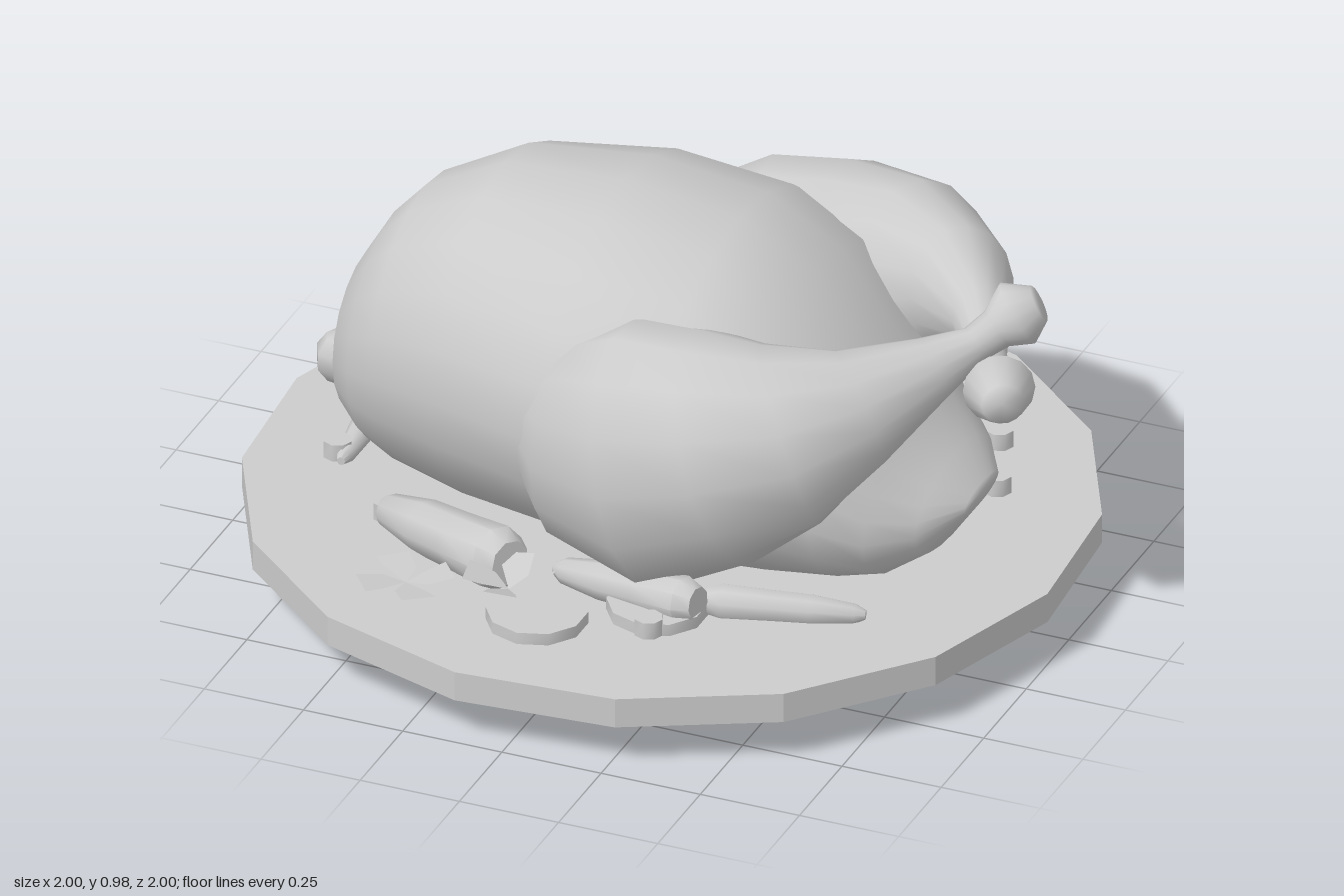
import * as THREE from 'three';
import { toCreasedNormals } from 'three/addons/utils/BufferGeometryUtils.js';

const material = new THREE.MeshStandardMaterial({ color: 0xcccccc });
const thin = new THREE.MeshStandardMaterial({ color: 0xcccccc, side: THREE.DoubleSide });

// Skin elliptical rings [x, y, z, halfWidth, halfHeight] and close both ends.
function loft(rows, sides, fixedDir) {
  const pos = [], index = [];
  const up = new THREE.Vector3(0, 1, 0);
  const centre = rows.map((r) => new THREE.Vector3(r[0], r[1], r[2]));
  const last = rows.length - 1;
  rows.forEach((r, i) => {
    const t = fixedDir ? fixedDir.clone()
      : centre[Math.min(i + 1, last)].clone().sub(centre[Math.max(i - 1, 0)]).normalize();
    const s = t.clone().cross(up).normalize();
    const n = s.clone().cross(t);
    for (let j = 0; j < sides; j++) {
      const a = (j / sides) * Math.PI * 2;
      const p = centre[i].clone().addScaledVector(s, Math.cos(a) * r[3]).addScaledVector(n, Math.sin(a) * r[4]);
      pos.push(p.x, p.y, p.z);
    }
  });
  const first = pos.length / 3;
  pos.push(...centre[0].toArray(), ...centre[last].toArray());
  for (let j = 0; j < sides; j++) {
    const k = (j + 1) % sides;
    for (let i = 0; i < last; i++) {
      const a = i * sides + j, b = i * sides + k, c = a + sides, d = b + sides;
      index.push(a, c, b, b, c, d);
    }
    index.push(first, j, k, first + 1, last * sides + k, last * sides + j);
  }
  const g = new THREE.BufferGeometry();
  g.setAttribute('position', new THREE.Float32BufferAttribute(pos, 3));
  g.setIndex(index);
  g.computeVertexNormals();
  return g;
}

export function createModel() {
  const model = new THREE.Group();
  const add = (name, geometry, x = 0, y = 0, z = 0, mat = material) => {
    const m = new THREE.Mesh(geometry, mat);
    m.name = name;
    m.position.set(x, y, z);
    model.add(m);
    return m;
  };

  // Sixteen-sided plate with a sloping underside and a hollow foot ring
  const plateProfile = [[0, 0.06], [0.59, 0.06], [0.59, 0], [0.635, 0], [0.635, 0.05], [1.005, 0.11], [1.005, 0.185], [0, 0.185]]
    .map(([r, y]) => new THREE.Vector2(r, y));
  const plate = new THREE.LatheGeometry(plateProfile, 16);
  plate.rotateY(-0.12);
  add('plate', toCreasedNormals(plate, 0.35));

  // Plump body: x, bottom, top, half width
  const bodyRows = [
    [-0.81, 0.39, 0.5, 0.07], [-0.77, 0.25, 0.64, 0.2], [-0.7, 0.19, 0.76, 0.28],
    [-0.62, 0.16, 0.85, 0.34], [-0.42, 0.13, 0.955, 0.44], [-0.12, 0.12, 0.977, 0.53],
    [0.17, 0.12, 0.94, 0.54], [0.36, 0.13, 0.84, 0.5], [0.52, 0.14, 0.65, 0.41],
    [0.62, 0.16, 0.51, 0.33], [0.71, 0.22, 0.43, 0.23], [0.78, 0.32, 0.37, 0.1],
  ].map(([x, lo, hi, w]) => [x, (lo + hi) / 2, 0, w, (hi - lo) / 2]);
  add('body', loft(bodyRows, 20, new THREE.Vector3(1, 0, 0)));

  // Thighs and drumsticks, crossing at the shanks
  const thigh = [
    [-0.24, 0.52, 0.36, 0.06, 0.08], [-0.08, 0.51, 0.39, 0.19, 0.26], [0.12, 0.52, 0.42, 0.25, 0.33],
    [0.32, 0.59, 0.43, 0.25, 0.285], [0.47, 0.64, 0.4, 0.2, 0.23], [0.6, 0.69, 0.3, 0.13, 0.15],
  ];
  const leftShank = [
    [0.73, 0.755, 0.17, 0.07, 0.08], [0.8, 0.79, 0.09, 0.042, 0.045], [0.84, 0.82, 0.05, 0.05, 0.05],
    [0.88, 0.855, 0.02, 0.082, 0.082], [0.925, 0.88, 0, 0.045, 0.045],
  ];
  const rightShank = [
    [0.72, 0.72, -0.14, 0.07, 0.08], [0.79, 0.695, -0.02, 0.042, 0.045], [0.83, 0.7, 0.05, 0.045, 0.045],
    [0.88, 0.71, 0.13, 0.085, 0.085], [0.92, 0.715, 0.2, 0.05, 0.05],
  ];
  add('frontLeg', loft([...thigh, ...leftShank], 14));
  add('backLeg', loft([...thigh.map(([x, y, z, w, h]) => [x, y, -z, w, h]), ...rightShank], 14));

  // Carrots: tip, blunt end, end radius
  const carrots = [
    [[-0.57, 0.2, 0.38], [-0.15, 0.26, 0.6], 0.078],
    [[-0.56, 0.21, -0.4], [-0.15, 0.25, -0.6], 0.07],
    [[-0.08, 0.21, 0.5], [0.31, 0.24, 0.57], 0.058],
    [[0.66, 0.2, 0.4], [0.3, 0.21, 0.5], 0.045],
    [[-0.74, 0.2, 0.22], [-0.78, 0.2, -0.26], 0.04],
  ];
  for (const [tip, end, r] of carrots) {
    const rows = [[0, 0.25], [0.07, 0.55], [0.35, 0.85], [0.6, 0.9], [0.9, 1], [1, 0.7]].map(([t, k]) => [
      ...tip.map((v, i) => v + (end[i] - v) * t), r * k, r * k]);
    add('carrot', toCreasedNormals(loft(rows, 9), 0.8));
  }

  // Vegetable slices and onion rings lying on the plate
  const slice = toCreasedNormals(new THREE.CylinderGeometry(0.12, 0.12, 0.03, 10), 0.7);
  for (const [x, y, z, tilt] of [[-0.04, 0.2, 0.7, 0], [0.05, 0.22, -0.58, 0.25], [0.2, 0.2, 0.55, 0]]) {
    add('slice', slice, x, y, z).rotation.x = tilt;
  }
  const ringShape = [[0.115, -0.02], [0.125, -0.02], [0.125, 0.02], [0.115, 0.02], [0.115, -0.02]];
  const ring = toCreasedNormals(new THREE.LatheGeometry(ringShape.map(([r, y]) => new THREE.Vector2(r, y)), 10), 0.7);
  add('onionRing', ring, -0.05, 0.215, -0.62);
  add('onionRing', ring, -0.74, 0.2, -0.17);

  // Small round-cut pieces and sprouts
  const dice = toCreasedNormals(new THREE.CylinderGeometry(0.035, 0.035, 0.045, 8), 0.8);
  for (const [x, y, z] of [[0.62, 0.205, -0.48], [0.7, 0.205, -0.28], [-0.64, 0.205, -0.36], [0.22, 0.205, 0.65], [-0.55, 0.205, 0.39], [-0.77, 0.205, 0.17]]) {
    add('dicedPiece', dice, x, y, z);
  }
  add('sprout', new THREE.SphereGeometry(0.068, 7, 5), -0.83, 0.345, 0);
  add('smallSprout', new THREE.SphereGeometry(0.04, 7, 5), -0.66, 0.24, -0.385);

  // Four-leaf herb sprigs
  const leaf = new THREE.Shape([[0, 0], [0.06, 0.04], [0.1, 0.06], [0.115, -0.02], [0.05, -0.03]]
    .map(([x, y]) => new THREE.Vector2(x, y)));
  const leafGeometry = new THREE.ShapeGeometry(leaf);
  leafGeometry.rotateX(-Math.PI / 2);
  for (const [x, y, z, turn, lift] of [[-0.38, 0.2, 0.68, 0.5, 0.15], [-0.12, 0.24, 0.68, 0, 0.4], [0.17, 0.23, -0.65, 0.3, 0.3]]) {
    const sprig = new THREE.Group();
    sprig.name = 'herbSprig';
    sprig.position.set(x, y, z);
    for (let i = 0; i < 4; i++) {
      const blade = new THREE.Mesh(leafGeometry, thin);
      blade.name = 'leaf';
      blade.rotation.set(0, turn + (i * Math.PI) / 2, lift);
      sprig.add(blade);
    }
    model.add(sprig);
  }
  return model;
}
